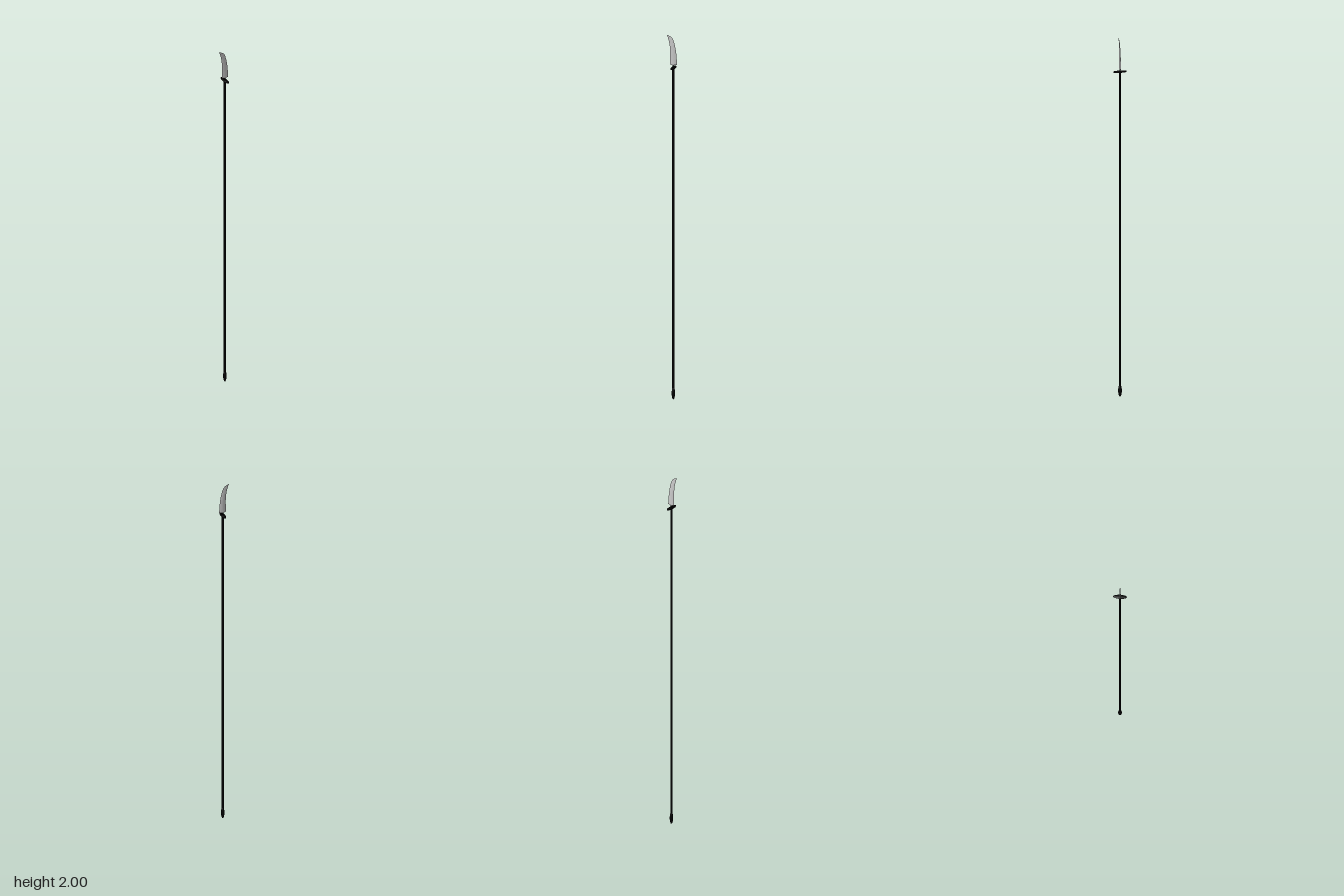
import * as THREE from 'three';

const AXIS_X = 0.0075; // the pole stands slightly to the left of the blade's centre

const black = new THREE.MeshStandardMaterial({ color: 0x000000 });
const steel = new THREE.MeshStandardMaterial({ color: 0xcccccc, flatShading: true, side: THREE.DoubleSide });

// Round profile turned about the pole, squashed to an oval in x and z
function turned(name, profile, sx, sz, segments = 24) {
  const points = profile.map(([r, y]) => new THREE.Vector2(r, y));
  const geometry = new THREE.LatheGeometry(points, segments);
  geometry.scale(sx, 1, sz);
  const mesh = new THREE.Mesh(geometry, black);
  mesh.name = name;
  mesh.position.x = AXIS_X;
  return mesh;
}

// Curved blade: lens-shaped cross-sections stacked up to the swept-back tip
function makeBlade() {
  const rows = [ // height, back x, cutting edge x, half thickness
    [1.838, -0.011, 0.029, 0.004],
    [1.87, -0.0105, 0.0268, 0.0036],
    [1.9, -0.01, 0.0242, 0.0031],
    [1.925, -0.011, 0.0205, 0.0025],
    [1.95, -0.014, 0.0152, 0.0018],
    [1.97, -0.0185, 0.009, 0.001],
    [1.983, -0.0225, 0.0025, 0.0005],
    [1.992, -0.0255, -0.0075, 0.0003],
    [2.0, -0.029, -0.026, 0.0001],
  ];
  const steps = 6; // facets on each side of the lens
  const ring = steps * 2;
  const positions = [];
  const index = [];
  rows.forEach(([y, back, edge, half]) => {
    for (let j = 0; j < ring; j++) {
      const front = j < steps;
      const u = (front ? j : ring - j) / steps;
      const z = half * 4 * u * (1 - u);
      positions.push(back + (edge - back) * u, y, front ? z : -z);
    }
  });
  for (let i = 0; i < rows.length - 1; i++) {
    for (let j = 0; j < ring; j++) {
      const p = i * ring + j, q = i * ring + (j + 1) % ring;
      index.push(p, q, q + ring, p, q + ring, p + ring);
    }
  }
  // Close the base and the tip
  const top = (rows.length - 1) * ring;
  for (let j = 1; j < ring - 1; j++) {
    index.push(0, j + 1, j, top, top + j, top + j + 1);
  }
  const geometry = new THREE.BufferGeometry();
  geometry.setAttribute('position', new THREE.Float32BufferAttribute(positions, 3));
  geometry.setIndex(index);
  geometry.computeVertexNormals();
  const mesh = new THREE.Mesh(geometry, steel);
  mesh.name = 'blade';
  return mesh;
}

export function createModel() {
  const group = new THREE.Group();
  group.name = 'polearm';

  // Long oval pole, ending in a narrow collar that holds the blade
  group.add(turned('shaft', [[0, 0.03], [1, 0.03], [1, 1.82], [0, 1.82]], 0.0068, 0.005));
  group.add(turned('collar', [[0, 1.818], [1, 1.818], [1, 1.832], [0.7, 1.838], [0, 1.839]], 0.0055, 0.0035));

  // Thin oval guard, wide from front to back
  group.add(turned('guard', [[0, 1.818], [1, 1.818], [1, 1.824], [0, 1.824]], 0.0105, 0.036, 32));

  // Swollen, egg-shaped butt cap at the foot
  const cap = [];
  for (let i = 0; i <= 12; i++) {
    const a = Math.PI * i / 12;
    cap.push([Math.sin(a), 0.034 * (1 - Math.cos(a))]);
  }
  group.add(turned('buttCap', cap, 0.009, 0.01));

  group.add(makeBlade());
  return group;
}
